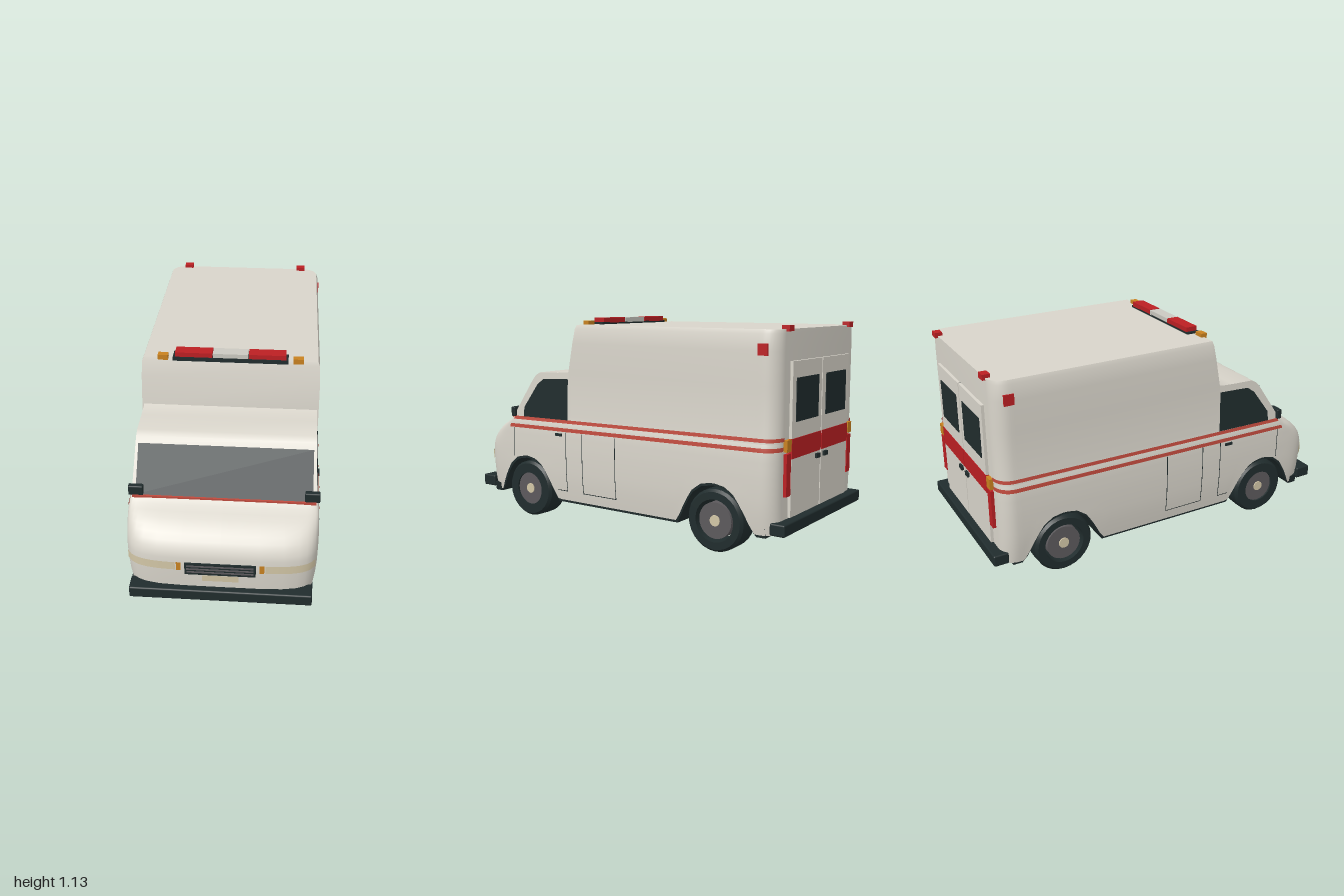
import * as THREE from 'three';
import { toCreasedNormals } from 'three/addons/utils/BufferGeometryUtils.js';
import { RoundedBoxGeometry } from 'three/addons/geometries/RoundedBoxGeometry.js';

const mat = (name, color) => Object.assign(new THREE.MeshStandardMaterial({ color, side: THREE.DoubleSide }), { name });

// Linear interpolation in a list of [key, value] pairs
function table(list, k) {
  if (k <= list[0][0]) return list[0][1];
  for (let i = 1; i < list.length; i++) {
    const [a, va] = list[i - 1], [b, vb] = list[i];
    if (k <= b) return va + (vb - va) * (k - a) / (b - a);
  }
  return list[list.length - 1][1];
}

// Body rules: half width and nose position by height, lower edge by z
const halfWidth = y => table([[0.12, 0.458], [0.2, 0.47], [0.3, 0.477], [0.42, 0.478], [0.5, 0.476], [0.545, 0.472],
  [0.57, 0.465], [0.6, 0.461], [1.0, 0.46], [1.08, 0.455], [1.1, 0.447]], y);
const nose = y => table([[0.12, 0.96], [0.3, 0.968], [0.38, 0.968], [0.42, 0.955], [0.46, 0.925], [0.49, 0.89],
  [0.52, 0.84], [0.545, 0.78], [0.57, 0.735]], y);
const boxFront = y => table([[0.84, 0.312], [1.08, 0.265], [1.1, 0.258]], y);
const lowerEdge = z => table([[0, 0.355], [0.07, 0.342], [0.12, 0.305], [0.16, 0.245], [0.22, 0.13]], Math.abs(Math.abs(z) - 0.62));

// Points of half the plan outline, from the middle of the nose round to the back
const front = [0, 0.4, 0.65, 0.8, 0.88].map(x => ({ x, f: (1 - x ** 5) ** 0.2 }));
for (let i = 8; i >= 0; i--) front.push({ x: (1 - (i / 10) ** 5) ** 0.2, f: i / 10 });
const side = Array.from({ length: 60 }, (_, i) => ({ s: (i + 1) / 60 }));
const rear = Array.from({ length: 8 }, (_, i) => ({ a: (i + 1) / 8 * Math.PI / 2 }));
const outline = [...front, ...side, ...rear];
const boxOutline = [{ s: 0 }, ...side, ...rear];

function planPoint(p, y, zStart = 0.72, off = 0) {
  const w = halfWidth(y);
  if (p.f !== undefined) return [p.x * w + off * p.x, y, 0.72 + (nose(y) - 0.72) * p.f + off * p.f];
  if (p.s !== undefined) return [w + off, y, zStart + (-0.87 - zStart) * p.s];
  const r = 0.08 + off;
  return [w - 0.08 + r * Math.cos(p.a), y, -0.87 - r * Math.sin(p.a)];
}

// Skin over rows of points
function skin(rows, closed = false) {
  const n = rows[0].length, index = [];
  for (let j = 0; j < rows.length - 1; j++)
    for (let i = 0; i < (closed ? n : n - 1); i++) {
      const a = j * n + i, b = j * n + (i + 1) % n;
      index.push(a, b, b + n, a, b + n, a + n);
    }
  const g = new THREE.BufferGeometry();
  g.setAttribute('position', new THREE.Float32BufferAttribute(rows.flat(2), 3));
  g.setIndex(index);
  return toCreasedNormals(g, 0.6);
}
const mirrorRow = half => [...half, ...half.map(([x, y, z]) => [-x, y, z]).reverse()];

// Side profile in (z, y) extruded across x, each vertex placed at width(y)
function acrossX(points, width) {
  const g = new THREE.ExtrudeGeometry(new THREE.Shape(points.map(p => new THREE.Vector2(...p))), { depth: 2, bevelEnabled: false });
  g.translate(0, 0, -1).rotateY(-Math.PI / 2);
  const p = g.attributes.position;
  for (let i = 0; i < p.count; i++) p.setX(i, Math.sign(p.getX(i)) * width(p.getY(i)));
  return toCreasedNormals(g, 0.5);
}

export function createModel() {
  const model = new THREE.Group();
  model.name = 'ambulance';
  const paint = mat('body paint', 0xd8d4ca), dark = mat('dark trim', 0x202c2d), red = mat('red', 0xbb1f23),
    stripe = mat('stripe red', 0xc04a3d), amber = mat('amber', 0xc8811f), cream = mat('headlight cream', 0xd2c6a6),
    grey = mat('rim grey', 0x5c595c), lens = mat('white lens', 0xcac8c0);

  const add = (name, geometry, material) => {
    const m = new THREE.Mesh(geometry, material);
    m.name = name;
    model.add(m);
  };
  // Box given by its limits
  const box = (name, material, x0, x1, y0, y1, z0, z1, round = 0) => {
    const s = [x1 - x0, y1 - y0, z1 - z0];
    const g = round ? new RoundedBoxGeometry(...s, 2, round) : new THREE.BoxGeometry(...s);
    add(name, g.translate((x0 + x1) / 2, (y0 + y1) / 2, (z0 + z1) / 2), material);
  };
  const bothSides = fn => [1, -1].forEach(fn);
  const boxPair = (name, material, x0, x1, ...rest) => {
    box(name + 'Left', material, x0, x1, ...rest);
    box(name + 'Right', material, -x1, -x0, ...rest);
  };

  // Lower body with hood and wheel arches
  const levels = [0, 1, 2, 3, 0.405, 0.43, 0.455, 0.48, 0.5, 0.52, 0.535, 0.55, 0.562, 0.572];
  const bodyRows = levels.map((v, j) => mirrorRow(outline.map(p => {
    const low = lowerEdge(planPoint(p, 0.13)[2]);
    return planPoint(p, j < 4 ? low + (0.38 - low) * v / 3 : v);
  })));
  add('lowerBody', skin(bodyRows, true), paint);

  // Rear box with flat roof
  const boxRows = [0.565, 0.6, 0.84, 1.0, 1.08, 1.1].map(y => mirrorRow(boxOutline.map(p => planPoint(p, y, boxFront(y)))));
  boxRows.push(boxRows[5].map(([, y, z]) => [0, y, z]));
  add('rearBox', skin(boxRows, true), paint);

  // Cab top
  add('cabTop', acrossX([[0.28, 0.56], [0.738, 0.56], [0.725, 0.582], [0.583, 0.79], [0.56, 0.815], [0.53, 0.832],
    [0.4, 0.836], [0.33, 0.84], [0.28, 0.86]], y => 0.462 - 0.04 * (y - 0.56)), paint);
  add('windshield', skin([[[-0.442, 0.578, 0.734], [0.442, 0.578, 0.734]], [[-0.438, 0.79, 0.59], [0.438, 0.79, 0.59]]]), dark);
  const windowShape = new THREE.Shape([[0.32, 0.58], [0.65, 0.575], [0.645, 0.63], [0.545, 0.765], [0.5, 0.797], [0.32, 0.805]]
    .map(p => new THREE.Vector2(...p)));
  bothSides(s => {
    const g = new THREE.ShapeGeometry(windowShape).rotateY(-Math.PI / 2);
    const p = g.attributes.position;
    for (let i = 0; i < p.count; i++) p.setX(i, s * (0.466 - 0.04 * (p.getY(i) - 0.56)));
    g.computeVertexNormals();
    add('sideWindow', g, dark);
  });

  // Dark underside following the arches
  const run = Array.from({ length: 73 }, (_, i) => -0.9 + i * 0.025);
  add('chassis', acrossX([...run.map(z => [z, lowerEdge(z) - 0.014]), ...run.map(z => [z, lowerEdge(z) + 0.035]).reverse()],
    y => halfWidth(y) - 0.006), dark);
  box('frontBumper', dark, -0.455, 0.455, 0.135, 0.198, 0.91, 1, 0.008);
  box('rearBumper', dark, -0.455, 0.455, 0.135, 0.195, -1, -0.92, 0.008);

  // Stripes wrapping along the sides and round the rear corners
  const stripes = [['lowerStripe', 0.512, 0.532, 11], ['upperStripe', 0.558, 0.576, 13]];
  for (const [name, y0, y1, first] of stripes) bothSides(s => {
    const row = y => outline.slice(first).map(p => {
      const z = planPoint(p, y)[2];
      const q = planPoint(p, y + 0.018 * (0.72 - z) / 1.67, 0.72, 0.004);
      return [q[0] * s, q[1], q[2]];
    });
    add(name, skin([row(y0), row((y0 + y1) / 2), row(y1)]), stripe);
  });
  box('hoodStripe', stripe, -0.458, 0.458, 0.564, 0.577, 0.73, 0.742);

  // Front lamps and plate laid on the nose
  const nosePatch = (name, material, x0, x1, y0, y1) => {
    const row = y => Array.from({ length: 13 }, (_, i) => {
      const x = (x0 + (x1 - x0) * i / 12) / 0.478;
      return planPoint({ x, f: (1 - Math.abs(x) ** 5) ** 0.2 }, y, 0.72, 0.004);
    });
    add(name, skin([row(y0), row(y1)]), material);
  };
  bothSides(s => {
    nosePatch('headlight', cream, s * 0.22, s * 0.462, 0.308, 0.355);
    nosePatch('turnSignal', amber, s * 0.192, s * 0.215, 0.306, 0.356);
  });
  nosePatch('numberPlate', cream, -0.09, 0.09, 0.24, 0.278);
  box('grille', dark, -0.175, 0.175, 0.284, 0.354, 0.95, 0.975);
  for (const y of [0.302, 0.32, 0.338]) box('grilleBar', grey, -0.165, 0.165, y - 0.004, y + 0.004, 0.97, 0.978);

  // Door seams and handles on the sides
  const seam = (s, z0, z1, y0, y1) => {
    const row = y => [z0, z1].map(z => [s * (halfWidth(y) + 0.002), y, z]);
    const rows = [0, 1, 2, 3, 4, 5, 6].map(i => row(y0 + (y1 - y0) * i / 6));
    add('doorSeam', skin(rows), dark);
  };
  bothSides(s => {
    for (const z of [0.32, 0.205, -0.02]) seam(s, z, z + 0.004, 0.185, 0.515);
    seam(s, 0.712, 0.716, 0.34, 0.51);
    seam(s, 0.32, 0.39, 0.183, 0.187);
    seam(s, -0.02, 0.209, 0.183, 0.187);
  });
  boxPair('sideHandle', dark, 0.47, 0.482, 0.49, 0.505, 0.352, 0.398);
  boxPair('mirror', dark, 0.402, 0.477, 0.572, 0.627, 0.707, 0.737, 0.006);
  boxPair('sideMarker', red, 0.455, 0.464, 0.98, 1.035, -0.9, -0.848);

  // Rear doors and lamps
  boxPair('rearDoor', paint, 0.004, 0.328, 0.2, 0.95, -0.965, -0.945);
  box('rearDoorGap', dark, -0.004, 0.004, 0.2, 0.95, -0.955, -0.945);
  boxPair('rearWindow', dark, 0.045, 0.29, 0.66, 0.87, -0.969, -0.962);
  boxPair('rearStripe', red, 0.004, 0.329, 0.485, 0.582, -0.968, -0.944);
  boxPair('rearHandle', dark, 0.025, 0.065, 0.45, 0.473, -0.977, -0.96);
  boxPair('tailLight', red, 0.336, 0.38, 0.31, 0.515, -0.967, -0.94);
  boxPair('rearSignal', amber, 0.336, 0.382, 0.525, 0.582, -0.969, -0.94);

  // Roof lights
  box('lightBarBase', dark, -0.295, 0.295, 1.09, 1.111, 0.205, 0.275);
  boxPair('lightBarRed', red, 0.093, 0.283, 1.108, 1.135, 0.205, 0.27);
  box('lightBarWhite', lens, -0.09, 0.09, 1.108, 1.134, 0.205, 0.27);
  boxPair('roofAmber', amber, 0.32, 0.372, 1.093, 1.12, 0.24, 0.275);
  boxPair('roofRed', red, 0.325, 0.375, 1.09, 1.118, -0.965, -0.925);

  // Wheels: hollow tyre, rim disc and hub cap
  for (const z of [0.62, -0.62]) bothSides(s => {
    const hole = z > 0 ? 0.092 : 0.108;
    const wheel = new THREE.Group();
    wheel.name = z > 0 ? 'frontWheel' : 'rearWheel';
    const part = (name, g, m) => {
      const mesh = new THREE.Mesh(toCreasedNormals(g, 0.6), m);
      mesh.name = name;
      wheel.add(mesh);
    };
    part('tyre', new THREE.LatheGeometry([[hole, -0.07], [0.145, -0.07], [0.158, -0.055], [0.16, 0], [0.158, 0.055], [0.145, 0.07],
      [hole, 0.07], [hole, -0.07]].map(p => new THREE.Vector2(...p)), 28), dark);
    part('rim', new THREE.CylinderGeometry(0.092, 0.092, 0.08, 28).translate(0, 0.02, 0), grey);
    part('hubCap', new THREE.CylinderGeometry(0.028, 0.028, 0.02, 16).translate(0, 0.056, 0), cream);
    wheel.rotation.z = -s * Math.PI / 2;
    wheel.position.set(s * 0.39, 0.16, z);
    model.add(wheel);
  });
  return model;
}
